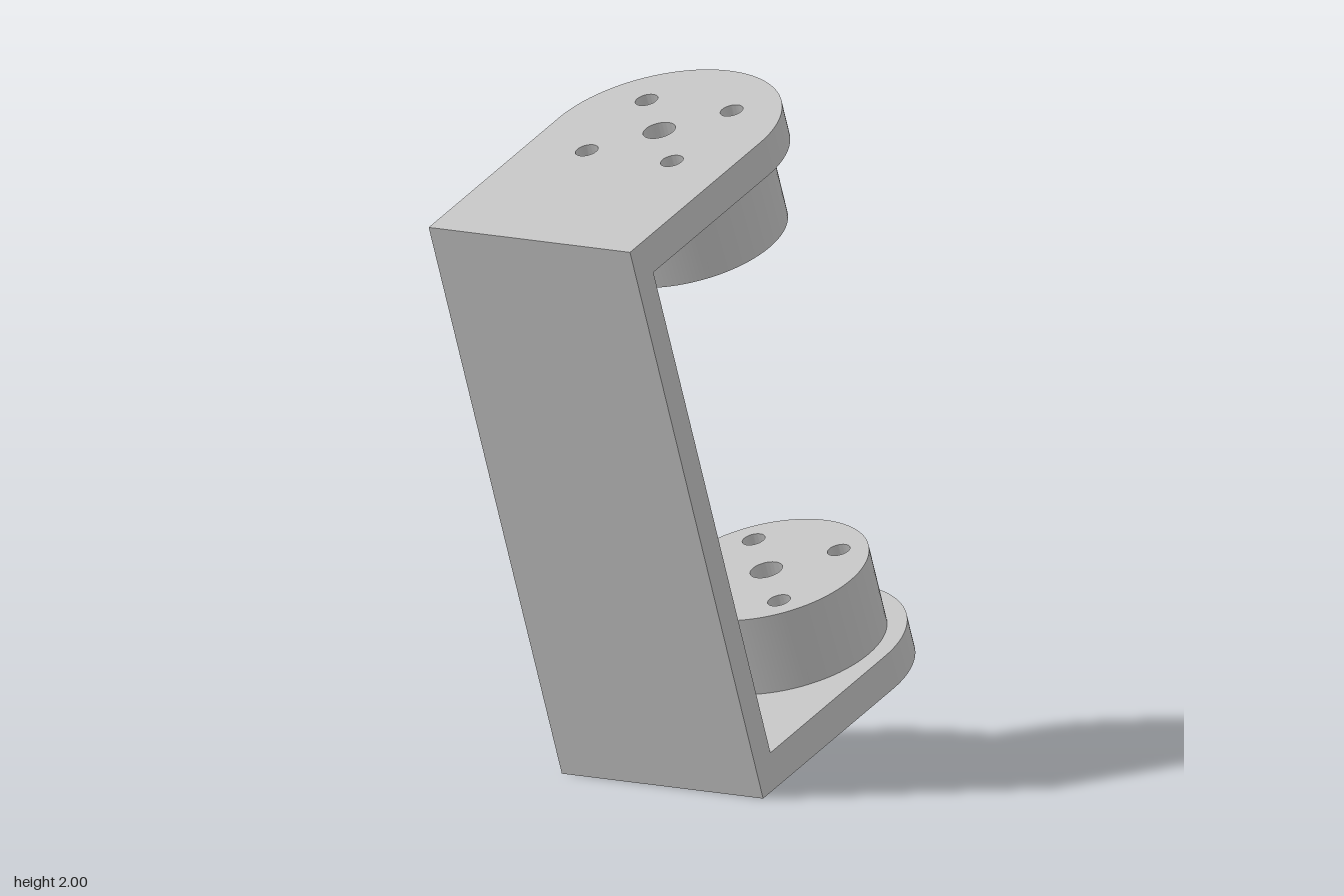
import * as THREE from 'three';
import { toCreasedNormals } from 'three/addons/utils/BufferGeometryUtils.js';

const WIDTH = 0.71, HEIGHT = 1.76, R = WIDTH / 2;
const REACH = 0.652;            // bend edge to hole centre
const ARM = 0.106, WEB = 0.077; // plate thicknesses
const BOSS_R = 0.297, BOSS_H = 0.238;

// Centre bore and four screw holes around it
function addHoles(shape, cy) {
  const holes = [[0, 0, 0.047]];
  for (const sx of [-1, 1]) for (const sy of [-1, 1]) holes.push([sx * 0.15, sy * 0.15, 0.033]);
  for (const [x, y, r] of holes) {
    shape.holes.push(new THREE.Path().absarc(x, cy + y, r, 0, Math.PI * 2, true));
  }
  return shape;
}

// Lay a shape flat, its y pointing to -z, with thickness along +y
function plate(shape, depth) {
  const g = new THREE.ExtrudeGeometry(shape, { depth, bevelEnabled: false, curveSegments: 40 });
  g.rotateX(-Math.PI / 2);
  return toCreasedNormals(g, 0.5);
}

export function createModel() {
  const grey = new THREE.MeshStandardMaterial({ color: 0xc0c0c0 });
  grey.name = 'plain grey';

  const bracket = new THREE.Group();
  bracket.name = 'bracket';
  const add = (name, geometry, x, y, z) => {
    const mesh = new THREE.Mesh(geometry, grey);
    mesh.name = name;
    mesh.position.set(x, y, z);
    bracket.add(mesh);
  };

  // Upright web between the arms
  add('web', new THREE.BoxGeometry(WIDTH, HEIGHT - 2 * ARM, WEB), 0, HEIGHT / 2, -WEB / 2);

  // Round-ended arm
  const armShape = new THREE.Shape();
  armShape.moveTo(-R, 0);
  armShape.lineTo(R, 0);
  armShape.lineTo(R, REACH);
  armShape.absarc(0, REACH, R, 0, Math.PI, false);
  armShape.closePath();
  const armGeometry = plate(addHoles(armShape, REACH), ARM);
  add('lowerArm', armGeometry, 0, 0, 0);
  add('upperArm', armGeometry, 0, HEIGHT - ARM, 0);

  // Round bosses facing each other
  const bossShape = new THREE.Shape().absarc(0, REACH, BOSS_R, 0, Math.PI * 2, false);
  const bossGeometry = plate(addHoles(bossShape, REACH), BOSS_H);
  add('lowerBoss', bossGeometry, 0, ARM, 0);
  add('upperBoss', bossGeometry, 0, HEIGHT - ARM - BOSS_H, 0);

  // Leaning forward on its lower bend edge, slightly turned
  bracket.rotation.set(0.363, 0.126, 0, 'YXZ');
  bracket.position.set(0, 0, 0.135);

  const model = new THREE.Group();
  model.name = 'tiltedBracket';
  model.add(bracket);
  return model;
}
